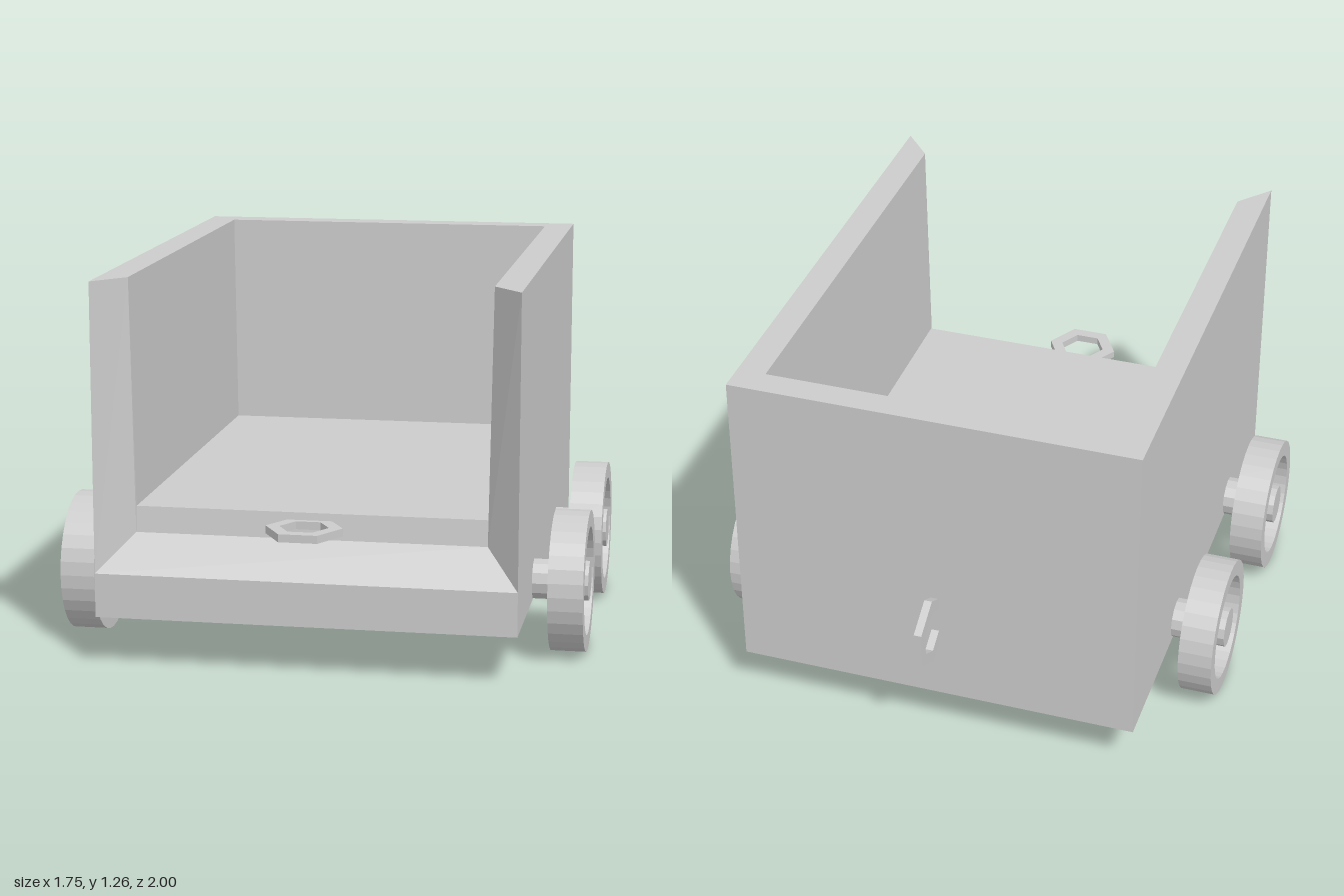
import * as THREE from 'three';

const grey = new THREE.MeshStandardMaterial({ color: 0xcccccc, flatShading: true });

function add(parent, geometry, name) {
  const mesh = new THREE.Mesh(geometry, grey);
  mesh.name = name;
  parent.add(mesh);
  return mesh;
}

// Flat convex faces, corners counter-clockwise from outside; mirrored ones repeat at -x
function facesGeometry(centred, mirrored) {
  const pos = [];
  const fan = (f) => {
    for (let i = 1; i < f.length - 1; i++) pos.push(...f[0], ...f[i], ...f[i + 1]);
  };
  centred.forEach(fan);
  mirrored.forEach((f) => {
    fan(f);
    fan(f.map(([x, y, z]) => [-x, y, z]).reverse());
  });
  const g = new THREE.BufferGeometry();
  g.setAttribute('position', new THREE.Float32BufferAttribute(pos, 3));
  g.computeVertexNormals();
  return g;
}

// Ring with a centred hole, extruded along z and centred on the origin
function ringGeometry(outer, inner, depth, sides) {
  const circle = (r) => Array.from({ length: sides }, (_, i) => {
    const a = (i / sides) * Math.PI * 2;
    return new THREE.Vector2(r * Math.cos(a), r * Math.sin(a));
  });
  const shape = new THREE.Shape(circle(outer));
  shape.holes.push(new THREE.Path(circle(inner)));
  return new THREE.ExtrudeGeometry(shape, { depth, bevelEnabled: false }).translate(0, 0, -depth / 2);
}

// Open-fronted tub with thick, slightly tapering walls and a bevelled front opening
function bodyGeometry() {
  const X = 0.685, B = 0.165, T = 1.26, zb = -0.83, zf = 0.925;
  const sill = 0.31, lip = 0.425, floor = 0.51;
  const xt = 0.588, xf = 0.575, zt = -0.735, zr = -0.72, zj = 0.81, ze = 0.8;
  // a face spanning from -x to +x between two edges
  const span = (x0, y0, z0, x1, y1, z1) => [[-x0, y0, z0], [x0, y0, z0], [x1, y1, z1], [-x1, y1, z1]];
  const centred = [
    span(X, B, zb, X, B, zf), // underside
    span(X, T, zb, X, B, zb), // back
    span(X, B, zf, X, sill, zf), // front below the sill
    span(X, sill, zf, xf, lip, zj), // sloping sill
    span(xf, lip, zj, xf, floor, ze), // step up to the floor
    span(xf, floor, ze, xf, floor, zr), // floor
    span(xf, floor, zr, xt, T, zt), // inner back
    span(xt, T, zt, X, T, zb), // back rim
  ];
  const mirrored = [
    [[X, B, zf], [X, B, zb], [X, T, zb], [X, T, zf]], // outer side
    [[xt, T, zj], [X, T, zf], [X, T, zb], [xt, T, zt]], // side rim
    [[xf, lip, zj], [X, sill, zf], [X, T, zf], [xt, T, zj]], // bevelled jamb
    [[xf, floor, zr], [xf, floor, ze], [xt, T, zj], [xt, T, zt]], // inner side
    [[xf, floor, ze], [xf, lip, zj], [xt, T, zj]],
  ];
  return facesGeometry(centred, mirrored);
}

// Spoked wheel facing +z, with a hub running back to the body
function makeWheel() {
  const wheel = new THREE.Group();
  wheel.name = 'wheel';
  add(wheel, ringGeometry(0.235, 0.18, 0.115, 32), 'rim');
  const hub = add(wheel, new THREE.CylinderGeometry(0.068, 0.068, 0.185, 12), 'hub');
  hub.rotation.x = Math.PI / 2;
  hub.position.z = -0.032;
  for (let i = 0; i < 8; i++) {
    const a = (i * Math.PI) / 4;
    const spoke = add(wheel, new THREE.CylinderGeometry(0.013, 0.013, 0.14, 8), 'spoke');
    spoke.position.set(-Math.sin(a) * 0.12, Math.cos(a) * 0.12, 0);
    spoke.rotation.z = a;
  }
  return wheel;
}

export function createModel() {
  const cart = new THREE.Group();
  cart.name = 'cart';
  add(cart, bodyGeometry(), 'body');

  // Four wheels
  for (const side of [-1, 1]) {
    for (const z of [0.458, -0.288]) {
      const wheel = makeWheel();
      wheel.position.set(side * 0.812, 0.235, z);
      wheel.rotation.y = (side * Math.PI) / 2;
      cart.add(wheel);
    }
  }

  // Hexagonal coupling rings: flat at the front, upright at the back
  const ring = ringGeometry(0.125, 0.08, 0.026, 6);
  const front = add(cart, ring, 'frontCoupling');
  front.rotation.x = -Math.PI / 2;
  front.position.set(-0.003, 0.473, 0.892);
  const back = add(cart, ring, 'backCoupling');
  back.rotation.set(0, Math.PI / 2, Math.PI / 2, 'YXZ');
  back.position.set(-0.003, 0.473, -0.892);
  return cart;
}
